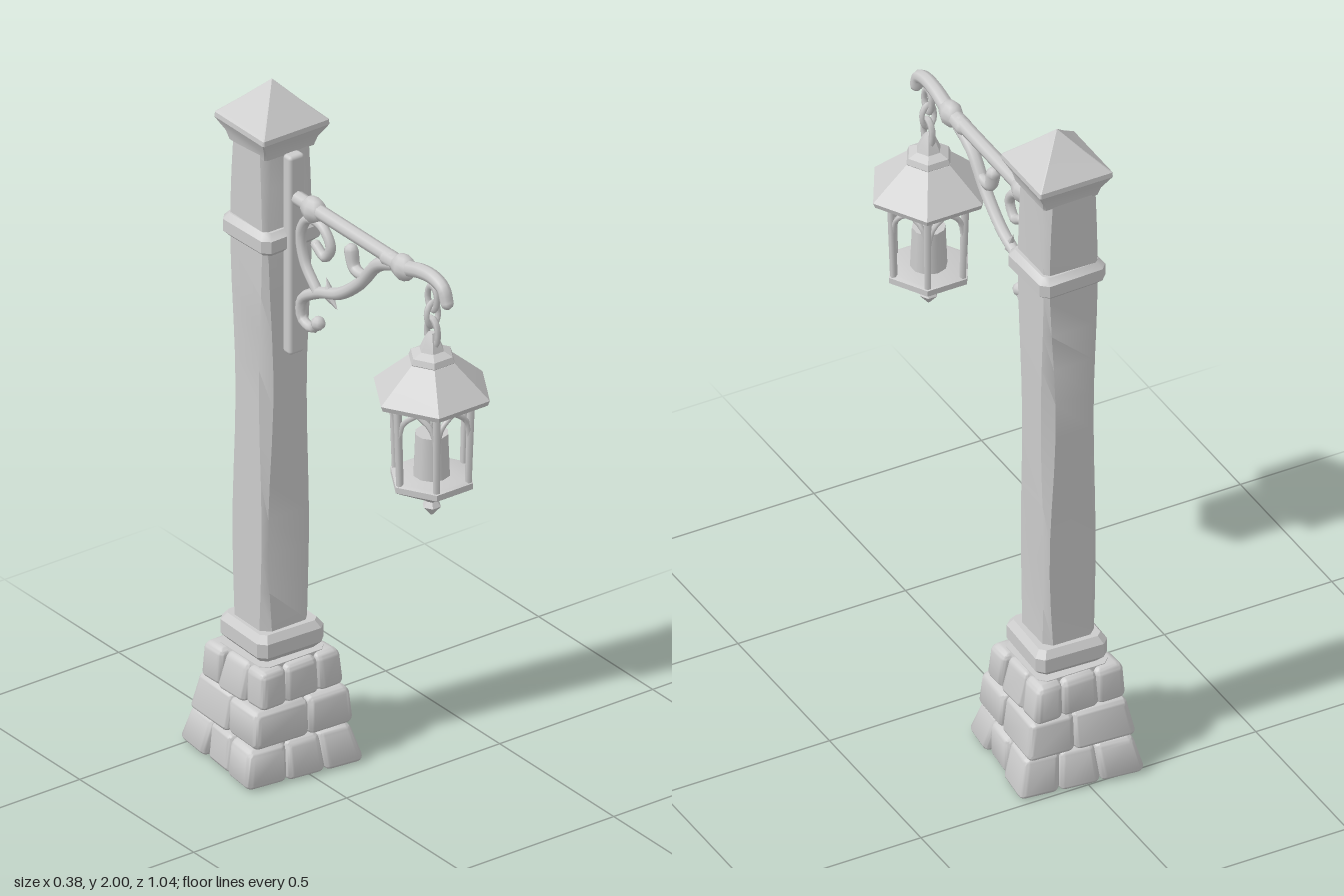
import * as THREE from 'three';
import { toCreasedNormals } from 'three/addons/utils/BufferGeometryUtils.js';
import { RoundedBoxGeometry } from 'three/addons/geometries/RoundedBoxGeometry.js';

const grey = new THREE.MeshStandardMaterial({ color: 0xcccccc });
grey.name = 'pale grey';
const POST_Z = -0.328, LAMP_Z = 0.373;

function add(parent, name, geometry, x = 0, y = 0, z = 0) {
  const mesh = new THREE.Mesh(geometry, grey);
  mesh.name = name;
  mesh.position.set(x, y, z);
  parent.add(mesh);
  return mesh;
}

// Skin a stack of equal-sized point rings, closed at both ends
function loft(rings, crease = 0.6) {
  const n = rings[0].length, last = rings.length - 1, pos = [], index = [];
  rings.forEach(r => r.forEach(p => pos.push(...p)));
  for (let i = 0; i < last; i++) for (let j = 0; j < n; j++) {
    const a = i * n + j, b = i * n + (j + 1) % n;
    index.push(a, b, a + n, b, b + n, a + n);
  }
  for (let j = 1; j < n - 1; j++) {
    index.push(0, j + 1, j, last * n, last * n + j, last * n + j + 1);
  }
  const g = new THREE.BufferGeometry();
  g.setAttribute('position', new THREE.Float32BufferAttribute(pos, 3));
  g.setIndex(index);
  return toCreasedNormals(g, crease);
}

// Square ring with cut corners, counter-clockwise from above
function square(y, h, c) {
  const k = h - c;
  return [[-k, y, h], [k, y, h], [h, y, k], [h, y, -k], [k, y, -h], [-k, y, -h], [-h, y, -k], [-h, y, k]];
}
const hexPoint = (r, y, k) => {
  const a = Math.PI / 6 + k * Math.PI / 3;
  return [r * Math.sin(a), y, r * Math.cos(a)];
};
const hex = (y, r) => [0, 1, 2, 3, 4, 5].map(k => hexPoint(r, y, k));
const hexStack = profile => loft(profile.map(([y, r]) => hex(y, r)), 0.45);

// Tube through points, tapering from r0 to r1, with rounded tips
function vine(parent, name, points, r0, r1 = r0, steps = 28, sides = 8) {
  const curve = new THREE.CatmullRomCurve3(points.map(p => new THREE.Vector3(...p)));
  const g = new THREE.TubeGeometry(curve, steps, 1, sides);
  const p = g.attributes.position, v = new THREE.Vector3();
  for (let i = 0; i <= steps; i++) {
    const c = curve.getPointAt(i / steps), r = r0 + (r1 - r0) * i / steps;
    for (let j = 0; j <= sides; j++) {
      const id = i * (sides + 1) + j;
      v.fromBufferAttribute(p, id).sub(c).multiplyScalar(r).add(c);
      p.setXYZ(id, v.x, v.y, v.z);
    }
  }
  add(parent, name, g);
  add(parent, name + 'Start', new THREE.SphereGeometry(r0, sides, 6), ...points[0]);
  add(parent, name + 'End', new THREE.SphereGeometry(r1, sides, 6), ...points[points.length - 1]);
}
const side = pts => pts.map(([z, y]) => [0, y, z]);

// Three tapering courses of lumpy stones
function buildBase() {
  const base = new THREE.Group();
  base.name = 'stoneBase';
  base.position.z = POST_Z;
  const courses = [
    { y: 0, h: 0.11, b: 0.173, t: 0.157, turn: -0.11, cuts: [-1, -0.3, 0.35, 1] },
    { y: 0.105, h: 0.11, b: 0.157, t: 0.143, turn: -0.05, cuts: [-1, 0.12, 1] },
    { y: 0.21, h: 0.108, b: 0.14, t: 0.122, turn: 0.02, cuts: [-1, -0.38, 0.42, 1] },
  ];
  courses.forEach((c, ci) => {
    const course = new THREE.Group();
    course.name = 'stoneCourse';
    course.rotation.y = c.turn;
    base.add(course);
    const n = c.cuts.length - 1;
    for (let i = 0; i < n; i++) for (let j = 0; j < n; j++) {
      const [x0, x1, z0, z1] = [c.cuts[i], c.cuts[i + 1], c.cuts[n - j], c.cuts[n - j - 1]];
      const w = (x1 - x0) * c.b + 0.003, d = (z0 - z1) * c.b + 0.003;
      const g = new RoundedBoxGeometry(w, c.h, d, 3, 0.02);
      g.translate((x0 + x1) / 2 * c.b, c.h / 2, (z0 + z1) / 2 * c.b);
      const p = g.attributes.position, seed = ci * 5 + i * 3 + j * 7;
      for (let k = 0; k < p.count; k++) {
        const y = p.getY(k), s = 1 + (c.t / c.b - 1) * y / c.h;
        const bulge = 1 + 0.035 * Math.sin(seed * 2.3 + y * 30);
        p.setXYZ(k, p.getX(k) * s * bulge, y, p.getZ(k) * s * bulge);
      }
      g.computeVertexNormals();
      add(course, 'stone', toCreasedNormals(g, 0.9), 0, c.y, 0);
    }
  });
  add(base, 'core', loft([square(0.01, 0.15, 0.02), square(0.32, 0.105, 0.02)]));
  return base;
}

// Square post with worn faces, two collars and a pyramid cap
function buildPost() {
  const post = new THREE.Group();
  post.name = 'post';
  post.position.z = POST_Z;
  const rings = [];
  for (let i = 0; i <= 14; i++) {
    const y = 0.3 + i * 1.54 / 14;
    rings.push(square(y, 0.079 + 0.003 * Math.cos(y * 4), 0.02 + 0.008 * Math.sin(y * 7))
      .map(([x, py, z], k) => [x - 0.003 + 0.003 * Math.sin(y * 5 + k), py, z + 0.003 * Math.cos(y * 6 + k)]));
  }
  add(post, 'shaft', loft(rings, 0.7));
  const collar = (name, y, h, r, turn) => {
    add(post, name, loft([square(y, r - 0.018, 0.015), square(y + h * 0.25, r, 0.02),
      square(y + h * 0.75, r, 0.02), square(y + h, r - 0.015, 0.015)])).rotation.y = turn;
  };
  collar('lowerCollar', 0.325, 0.08, 0.105, -0.04);
  collar('upperCollar', 1.53, 0.07, 0.1, 0.03);
  add(post, 'cap', loft([square(1.815, 0.082, 0.006), square(1.84, 0.088, 0.004), square(1.878, 0.109, 0.003),
    square(1.892, 0.108, 0.003), square(1.945, 0.054, 0.002), square(2, 0.002, 0.0005)], 0.5));
  return post;
}

// Wrought arm with scrolls, back plate and hook
function buildBracket() {
  const b = new THREE.Group();
  b.name = 'bracket';
  add(b, 'backPlate', new RoundedBoxGeometry(0.05, 0.59, 0.035, 2, 0.01), 0, 1.525, -0.232);
  vine(b, 'arm', side([[-0.22, 1.695], [0, 1.695], [0.2, 1.695]]), 0.02);
  vine(b, 'hook', side([[0.18, 1.69], [0.265, 1.695], [0.33, 1.712], [0.385, 1.715], [0.425, 1.7], [0.44, 1.665]]), 0.024, 0.018);
  [[0.25, 1.69], [-0.145, 1.69]].forEach(([z, y]) => {
    const knot = add(b, 'armKnot', new THREE.SphereGeometry(0.037, 8, 6), 0, y, z);
    knot.scale.set(0.85, 1, 1.15);
  });
  vine(b, 'brace', side([[0.23, 1.69], [0.14, 1.65], [0.06, 1.56], [-0.03, 1.49], [-0.127, 1.45],
    [-0.195, 1.4], [-0.195, 1.345], [-0.15, 1.335], [-0.125, 1.365]]), 0.02, 0.014, 40);
  vine(b, 'scroll', side([[-0.13, 1.455], [-0.185, 1.52], [-0.2, 1.6], [-0.165, 1.655], [-0.105, 1.655],
    [-0.07, 1.61], [-0.095, 1.57], [-0.135, 1.59]]), 0.015, 0.014, 40);
  vine(b, 'twig', side([[0.12, 1.635], [0.075, 1.59], [0.035, 1.595], [0.02, 1.64]]), 0.011, 0.02);
  const leaf = (z, y, tilt) => {
    const m = add(b, 'leaf', new THREE.ConeGeometry(0.015, 0.05, 6), 0, y, z);
    m.rotation.x = tilt;
  };
  leaf(0.03, 1.545, 0.5);
  leaf(-0.08, 1.49, -0.4);
  leaf(-0.06, 1.45, 2.2);
  add(b, 'scrollTip', new THREE.SphereGeometry(0.02, 8, 6), 0, 1.36, -0.125);
  return b;
}

// Hexagonal hanging lantern
function buildLantern() {
  const l = new THREE.Group();
  l.name = 'lantern';
  l.position.z = LAMP_Z;
  add(l, 'roof', hexStack([[1.355, 0.125], [1.365, 0.16], [1.38, 0.166], [1.42, 0.122], [1.47, 0.066]]));
  add(l, 'crown', hexStack([[1.462, 0.058], [1.472, 0.066], [1.488, 0.06], [1.5, 0.035], [1.53, 0.022], [1.55, 0.01]]));
  add(l, 'floor', hexStack([[1.055, 0.022], [1.1, 0.105], [1.108, 0.118], [1.125, 0.118], [1.13, 0.105]]));
  add(l, 'finial', hexStack([[1.008, 0.003], [1.035, 0.026], [1.05, 0.016], [1.065, 0.03]]));
  add(l, 'candle', new THREE.CylinderGeometry(0.045, 0.05, 0.125, 10), 0, 1.19, 0);
  add(l, 'wick', new THREE.ConeGeometry(0.012, 0.04, 6), 0, 1.27, 0);
  for (let k = 0; k < 6; k++) {
    vine(l, 'cornerPost', [hexPoint(0.104, 1.12, k), hexPoint(0.112, 1.365, k)], 0.01, 0.011, 2, 6);
    const next = hexPoint(0.112, 1.35, k + 1), here = hexPoint(0.112, 1.35, k);
    const mid = here.map((v, i) => (v + next[i]) / 2);
    [[here, k], [next, k + 1]].forEach(([end, e]) => {
      const knee = end.map((v, i) => v * 0.72 + mid[i] * 0.28);
      knee[1] = 1.315;
      vine(l, 'archRib', [hexPoint(0.108, 1.255, e), knee, mid], 0.008, 0.008, 6, 5);
    });
  }
  // Chain links alternate in facing
  [[1.655, 0.026, 0], [1.605, 0.024, 1], [1.55, 0.03, 0]].forEach(([y, r, turned]) => {
    const link = add(l, 'chainLink', new THREE.TorusGeometry(r, 0.009, 6, 14), 0, y, 0.003);
    link.rotation.y = turned ? 0 : Math.PI / 2;
    link.scale.set(0.8, 1.35, 1);
  });
  return l;
}

export function createModel() {
  const model = new THREE.Group();
  model.name = 'streetLantern';
  model.add(buildBase(), buildPost(), buildBracket(), buildLantern());
  return model;
}
